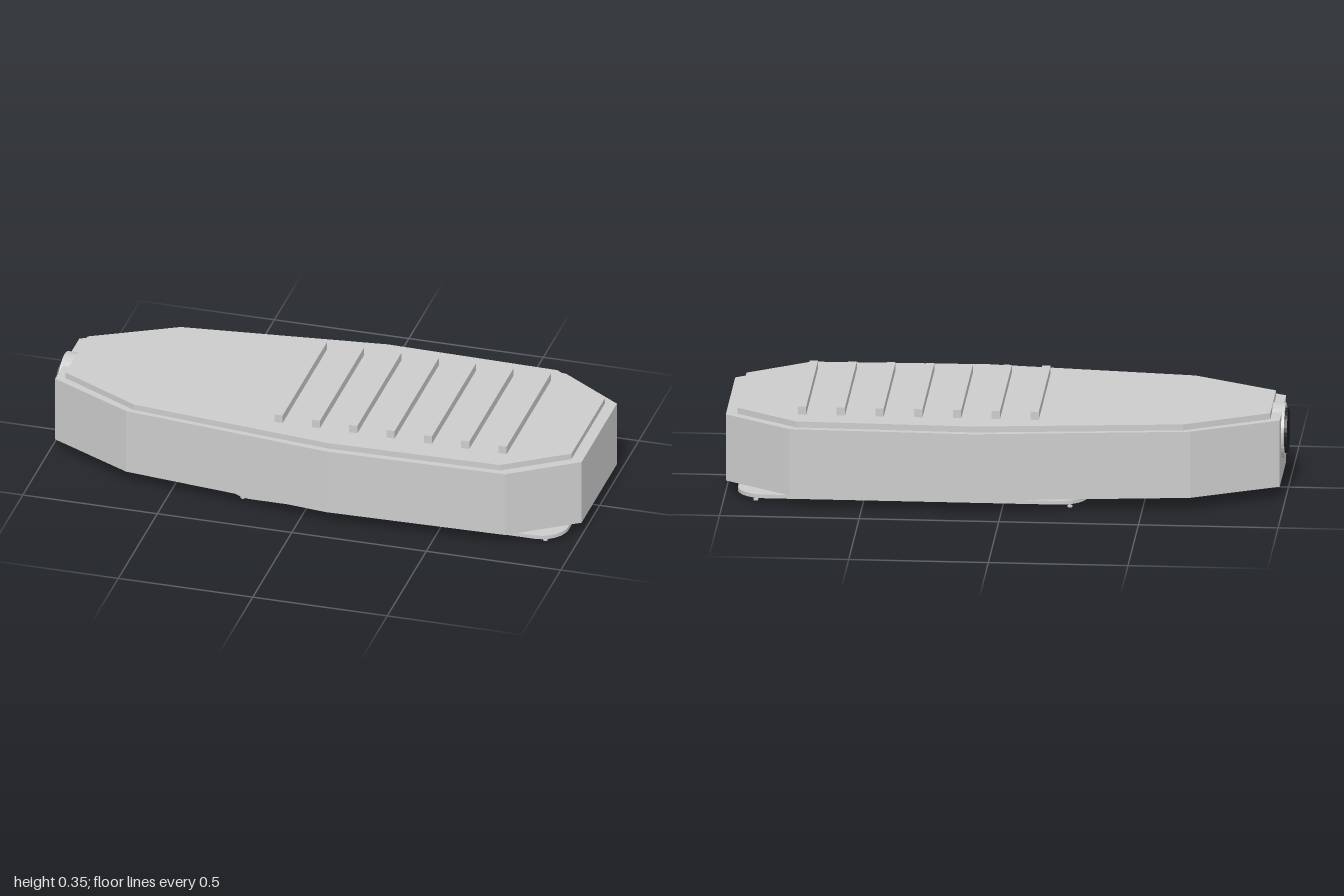
import * as THREE from 'three';

const grey = new THREE.MeshStandardMaterial({ color: 0xcccccc, flatShading: true });
const dark = new THREE.MeshStandardMaterial({ color: 0x222222, flatShading: true });

// Closed shape mirrored about the x axis from one half outline [x, z]
function mirrored(half, Type = THREE.Shape) {
  const other = half.slice().reverse().map(([x, z]) => [x, -z]);
  return new Type([...half, ...other].map(([x, z]) => new THREE.Vector2(x, z)));
}

// Rectangle with rounded corners
function rounded(x0, x1, w, r, Type = THREE.Shape) {
  const s = new Type();
  s.absarc(x1 - r, w - r, r, 0, Math.PI / 2);
  s.absarc(x0 + r, w - r, r, Math.PI / 2, Math.PI);
  s.absarc(x0 + r, -w + r, r, Math.PI, Math.PI * 1.5);
  s.absarc(x1 - r, -w + r, r, Math.PI * 1.5, Math.PI * 2);
  s.closePath();
  return s;
}

export function createModel() {
  const model = new THREE.Group();
  model.name = 'streetLampHead';

  function add(name, geometry, material = grey) {
    const mesh = new THREE.Mesh(geometry, material);
    mesh.name = name;
    model.add(mesh);
    return mesh;
  }
  // Horizontal slab from y0 to y1
  function slab(name, shape, y0, y1, material) {
    const g = new THREE.ExtrudeGeometry(shape, { depth: y1 - y0, bevelEnabled: false, curveSegments: 6 });
    g.rotateX(-Math.PI / 2).translate(0, y0, 0);
    return add(name, g, material);
  }
  function box(name, w, h, d, x, y, z) {
    add(name, new THREE.BoxGeometry(w, h, d)).position.set(x, y, z);
  }

  // Housing: hollow walls, closed roof and a raised lid
  const outline = [[-0.98, 0.155], [-0.67, 0.315], [0.1, 0.405], [0.76, 0.39], [0.998, 0.226]];
  const inner = [[-0.94, 0.13], [-0.66, 0.275], [0.1, 0.365], [0.75, 0.35], [0.955, 0.205]];
  const lid = [[-0.945, 0.14], [-0.645, 0.3], [0.1, 0.382], [0.735, 0.367], [0.957, 0.215]];
  const walls = mirrored(outline);
  walls.holes.push(mirrored(inner, THREE.Path));
  slab('housingWalls', walls, 0.048, 0.27);
  slab('housingRoof', mirrored(outline), 0.27, 0.295);
  slab('lid', mirrored(lid), 0.295, 0.317);

  // Cooling ribs
  for (let i = 0; i < 7; i++) box('coolingRib', 0.03, 0.03, 0.566, -0.112 + i * 0.1388, 0.332, 0);

  // Pole socket at the narrow end
  const collar = new THREE.CylinderGeometry(0.1, 0.1, 0.05, 32).rotateZ(Math.PI / 2);
  add('socketCollar', collar).position.set(-0.965, 0.212, 0);
  const bore = new THREE.CylinderGeometry(0.082, 0.082, 0.04, 32).rotateZ(Math.PI / 2);
  add('socketBore', bore, dark).position.set(-0.98, 0.212, 0);

  // Lens frame and glass
  const frame = rounded(-0.3, 0.953, 0.335, 0.1);
  frame.holes.push(rounded(-0.245, 0.898, 0.28, 0.075, THREE.Path));
  slab('lensFrame', frame, 0.018, 0.032);
  slab('lensGlass', rounded(-0.245, 0.898, 0.28, 0.075), 0.022, 0.03);

  // Frame screws
  for (const x of [-0.24, 0.885]) for (const z of [-0.3, 0.3]) {
    add('screwHead', new THREE.CylinderGeometry(0.009, 0.009, 0.006, 12)).position.set(x, 0.003, z);
    add('screwShaft', new THREE.CylinderGeometry(0.003, 0.003, 0.016, 8)).position.set(x, 0.013, z);
  }

  // Gear compartment cover, gasket and side latches
  const cover = [[-0.87, 0.09], [-0.85, 0.125], [-0.8, 0.15], [-0.4, 0.275], [-0.3, 0.303]];
  const gasket = [[-0.875, 0.12], [-0.6, 0.215], [-0.29, 0.215]];
  slab('gearCover', mirrored(cover), 0.035, 0.04);
  slab('coverGasket', mirrored(gasket), 0.045, 0.049, dark);
  for (const s of [-1, 1]) box('coverLatch', 0.12, 0.012, 0.022, -0.55, 0.044, s * 0.228);

  return model;
}
